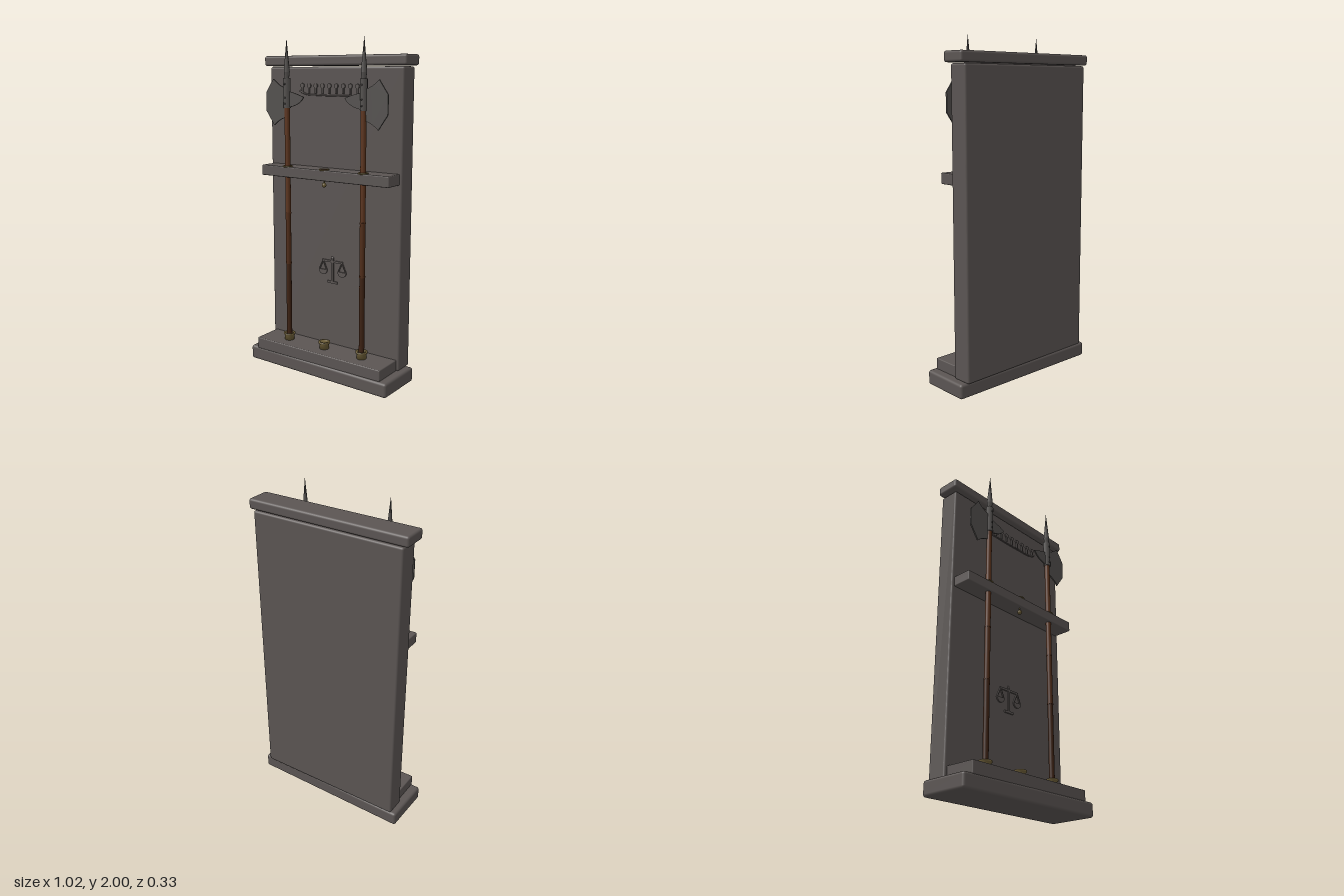
import * as THREE from 'three';
import { RoundedBoxGeometry } from 'three/addons/geometries/RoundedBoxGeometry.js';

const mat = (name, color) => {
  const m = new THREE.MeshStandardMaterial({ color });
  m.name = name;
  return m;
};

export function createModel() {
  const stone = mat('stone', 0x5b5553);
  const steel = mat('steel', 0x53504e);
  const brass = mat('brass', 0x6a5b35);
  const woodTop = mat('warm wood', 0x5c341d);
  const woodMid = mat('mid wood', 0x4f2c18);
  const woodLow = mat('dark wood', 0x3d2213);

  const root = new THREE.Group();
  root.name = 'weaponRack';

  const add = (parent, name, geo, material, x = 0, y = 0, z = 0) => {
    const mesh = new THREE.Mesh(geo, material);
    mesh.name = name;
    mesh.position.set(x, y, z);
    parent.add(mesh);
    return mesh;
  };
  // Slab given by its extents
  const slab = (name, x, y0, y1, z0, z1, r) => add(root, name,
    new RoundedBoxGeometry(2 * x, y1 - y0, z1 - z0, 3, r), stone, 0, (y0 + y1) / 2, (z0 + z1) / 2);
  const rod = (parent, name, r0, r1, y0, y1, material, sides = 16) => add(parent, name,
    new THREE.CylinderGeometry(r1, r0, y1 - y0, sides), material, 0, (y0 + y1) / 2, 0);
  const plate = (shape, depth) => {
    const g = new THREE.ExtrudeGeometry(shape, { depth, bevelEnabled: false, curveSegments: 10 });
    return g.translate(0, 0, -depth / 2);
  };

  // Stone frame; the plinth sits slightly askew
  slab('plinth', 0.507, 0, 0.087, -0.155, 0.153, 0.016).rotation.y = -0.018;
  slab('step', 0.453, 0.08, 0.152, -0.06, 0.146, 0.006);
  slab('backPanel', 0.47, 0.085, 1.84, -0.162, -0.04, 0.012);
  slab('cornice', 0.498, 1.845, 1.905, -0.164, -0.015, 0.014);
  slab('shelf', 0.453, 1.187, 1.25, -0.05, 0.076, 0.006);

  // Brass cups on the step and rings in the shelf
  const cupGeo = new THREE.LatheGeometry([
    [0, 0], [0.029, 0], [0.029, 0.03], [0.036, 0.036], [0.036, 0.045],
    [0.026, 0.045], [0.024, 0.036], [0, 0.036],
  ].map(([x, y]) => new THREE.Vector2(x, y)), 24);
  const ringGeo = new THREE.TorusGeometry(0.026, 0.005, 8, 24).rotateX(Math.PI / 2);
  for (const x of [-0.27, 0, 0.27]) {
    add(root, 'cup', cupGeo, brass, x, 0.151, 0.05);
    add(root, 'shelfRing', ringGeo, brass, x, 1.251, 0.05);
  }
  add(root, 'shelfHole', new THREE.CylinderGeometry(0.023, 0.023, 0.004, 20), woodLow, 0, 1.25, 0.05);
  add(root, 'shelfKnob', new THREE.SphereGeometry(0.014, 14, 10), brass, 0, 1.16, 0.05);
  add(root, 'knobStem', new THREE.CylinderGeometry(0.004, 0.004, 0.03, 8), brass, 0, 1.18, 0.05);

  // Blade and beak of the halberd, blade toward -x
  const blade = new THREE.Shape();
  blade.moveTo(0, 1.715);
  blade.lineTo(-0.02, 1.72);
  blade.quadraticCurveTo(-0.06, 1.73, -0.1, 1.77);
  blade.lineTo(-0.157, 1.69);
  blade.lineTo(-0.157, 1.58);
  blade.lineTo(-0.097, 1.495);
  blade.quadraticCurveTo(-0.06, 1.53, -0.02, 1.54);
  blade.lineTo(-0.014, 1.61);
  blade.lineTo(0, 1.62);
  const beak = new THREE.Shape();
  beak.moveTo(0, 1.7);
  beak.quadraticCurveTo(0.06, 1.69, 0.125, 1.665);
  beak.quadraticCurveTo(0.1, 1.62, 0.02, 1.605);
  beak.lineTo(0, 1.605);

  const makeHalberd = () => {
    const g = new THREE.Group();
    g.name = 'halberd';
    rod(g, 'lowerShaft', 0.0165, 0.0165, 0.185, 0.65, woodLow);
    rod(g, 'middleShaft', 0.0165, 0.0165, 0.65, 0.965, woodMid);
    rod(g, 'upperShaft', 0.0165, 0.0165, 0.965, 1.61, woodTop);
    for (const y of [0.65, 0.965]) rod(g, 'shaftBand', 0.0185, 0.0185, y - 0.004, y + 0.004, woodMid);
    rod(g, 'socket', 0.022, 0.022, 1.6, 1.775, steel, 8);
    rod(g, 'spikeFoot', 0.013, 0.018, 1.775, 1.81, steel, 8);
    rod(g, 'spike', 0.018, 0.0005, 1.81, 2.0, steel, 8);
    add(g, 'axeBlade', plate(blade, 0.009), steel);
    add(g, 'beak', plate(beak, 0.008), steel);
    // Rivets on both faces of the socket
    for (const y of [1.625, 1.66, 1.74]) for (const z of [-0.022, 0.022]) {
      add(g, 'rivet', new THREE.SphereGeometry(0.005, 8, 6), steel, 0, y, z);
    }
    return g;
  };
  for (const side of [-1, 1]) {
    const h = makeHalberd();
    h.position.set(side * 0.27, 0, 0.05);
    if (side > 0) h.rotation.y = Math.PI;
    root.add(h);
  }

  // Carved relief on the panel
  const relief = new THREE.Group();
  relief.name = 'panelRelief';
  relief.position.z = -0.037;
  root.add(relief);
  const bar = (name, x, y, w, h, tilt = 0) => {
    const m = add(relief, name, new THREE.BoxGeometry(w, h, 0.009), stone, x, y, 0);
    m.rotation.z = tilt;
  };

  // Sagging garland topped by a row of small knobbed pegs
  const garland = new THREE.CatmullRomCurve3([
    [-0.24, 1.7], [-0.19, 1.68], [-0.1, 1.676], [0, 1.674], [0.1, 1.676], [0.19, 1.68], [0.24, 1.7],
  ].map(([x, y]) => new THREE.Vector3(x, y, 0)));
  add(relief, 'garland', new THREE.TubeGeometry(garland, 32, 0.005, 6), stone);
  for (let i = 0; i < 10; i++) {
    const x = -0.22 + i * 0.049;
    bar('peg', x, 1.704, 0.01, 0.04);
    add(relief, 'pegKnob', new THREE.CylinderGeometry(0.014, 0.014, 0.009, 10).rotateX(Math.PI / 2),
      stone, x, 1.73, 0);
  }

  // Balance emblem
  bar('balancePost', 0, 0.625, 0.015, 0.15);
  bar('balanceFoot', 0, 0.549, 0.07, 0.014);
  bar('balanceBeam', 0, 0.68, 0.15, 0.012);
  add(relief, 'balanceFinial', new THREE.SphereGeometry(0.011, 10, 8).scale(1, 1, 0.5), stone, 0, 0.7, 0);
  const pan = new THREE.Shape();
  pan.absarc(0, 0, 0.031, Math.PI, Math.PI * 2, false);
  pan.closePath();
  for (const s of [-1, 1]) {
    const x = s * 0.07;
    for (const t of [-1, 1]) bar('panCord', x + t * 0.014, 0.65, 0.006, 0.064, t * 0.43);
    add(relief, 'pan', plate(pan, 0.009), stone, x, 0.622, 0);
  }
  return root;
}
